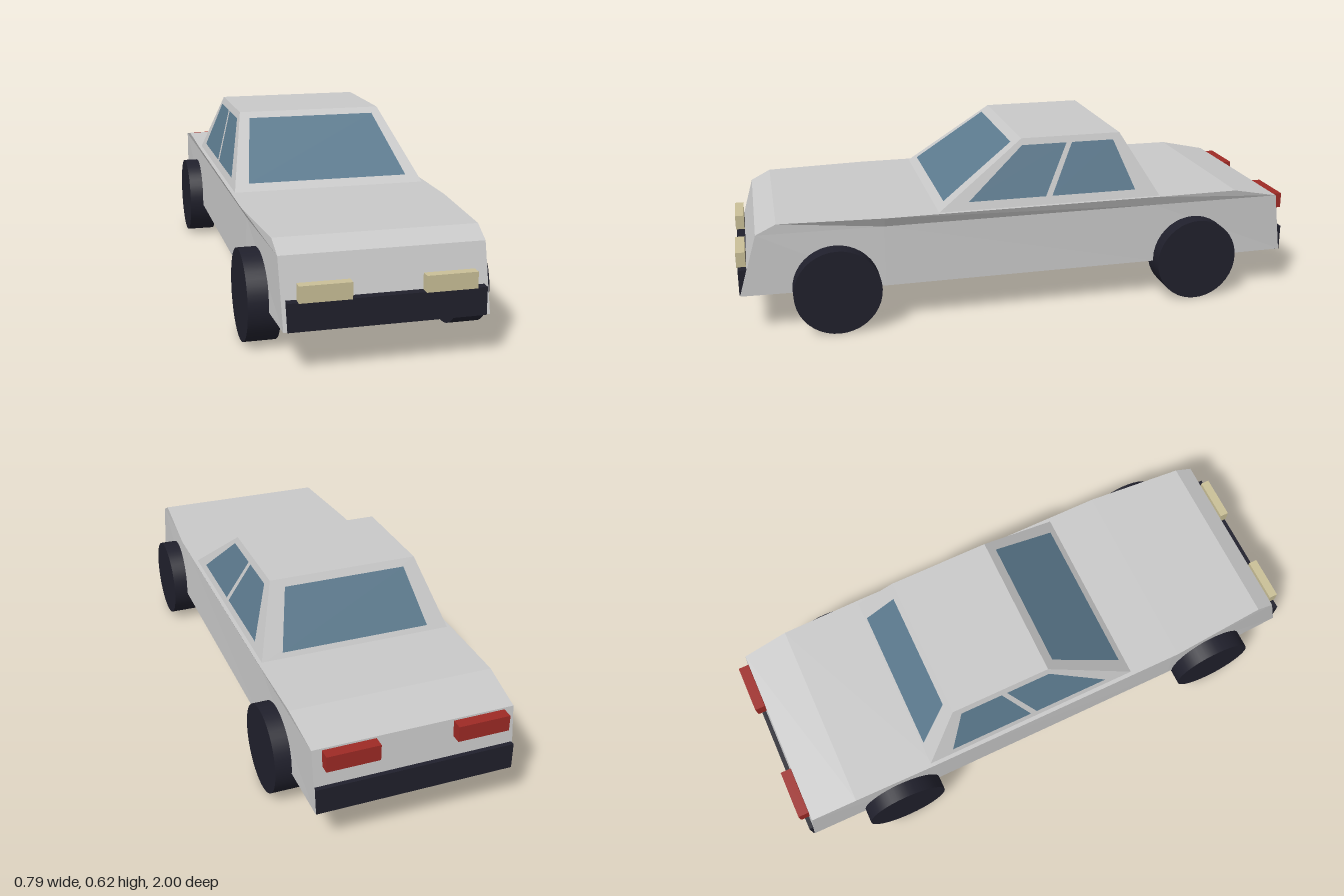
import * as THREE from 'three';

const paint = new THREE.MeshStandardMaterial({ color: 0xc8c8c8 });
const glass = new THREE.MeshStandardMaterial({ color: 0x5c7a8e });
const rubber = new THREE.MeshStandardMaterial({ color: 0x20202c });
const lampCream = new THREE.MeshStandardMaterial({ color: 0xc9bf97 });
const lampRed = new THREE.MeshStandardMaterial({ color: 0x9e2a25 });
paint.name = 'paint';
glass.name = 'glass';
rubber.name = 'rubber';
lampCream.name = 'lampCream';
lampRed.name = 'lampRed';

// Flat quads, corners counter-clockwise from outside
function quadGeometry(quads) {
  const pos = [];
  for (const [a, b, c, d] of quads) pos.push(...a, ...b, ...c, ...a, ...c, ...d);
  const g = new THREE.BufferGeometry();
  g.setAttribute('position', new THREE.Float32BufferAttribute(pos, 3));
  g.computeVertexNormals();
  return g;
}

const flip = ([x, y, z]) => [-x, y, z];

// Skin through sections given front to back; each lists its left half from bottom to top
function loft(halves) {
  const rings = halves.map((h) => [...h.map(flip), ...[...h].reverse()]);
  const n = rings[0].length;
  const quads = [];
  for (let s = 0; s < rings.length - 1; s++) {
    const f = rings[s], r = rings[s + 1];
    for (let i = 0; i < n; i++) {
      const j = (i + 1) % n;
      quads.push([f[i], f[j], r[j], r[i]]);
    }
  }
  const front = rings[0], rear = rings[rings.length - 1];
  for (let i = 0; i < n / 2 - 1; i++) {
    quads.push([front[i], front[n - 1 - i], front[n - 2 - i], front[i + 1]]);
    quads.push([rear[i + 1], rear[n - 2 - i], rear[n - 1 - i], rear[i]]);
  }
  return quadGeometry(quads);
}

export function createModel() {
  const car = new THREE.Group();
  car.name = 'car';
  const add = (name, geometry, material) => {
    const m = new THREE.Mesh(geometry, material);
    m.name = name;
    car.add(m);
    return m;
  };
  const box = (name, material, x0, x1, y0, y1, z0, z1) =>
    add(name, new THREE.BoxGeometry(x1 - x0, y1 - y0, z1 - z0), material)
      .position.set((x0 + x1) / 2, (y0 + y1) / 2, (z0 + z1) / 2);

  // Lower body: sill, shoulder and deck edge at each section
  add('body', loft([
    [[0.322, 0.14, 0.993], [0.325, 0.355, 0.93], [0.328, 0.39, 0.86]],
    [[0.342, 0.14, 0.5], [0.336, 0.355, 0.5], [0.355, 0.39, 0.5]],
    [[0.342, 0.14, -0.48], [0.338, 0.355, -0.48], [0.354, 0.39, -0.48]],
    [[0.337, 0.14, -0.99], [0.34, 0.355, -0.96], [0.35, 0.39, -0.79]],
  ]), paint);

  // Cabin
  add('cabin', loft([
    [[0.342, 0.385, 0.317], [0.264, 0.615, 0]],
    [[0.342, 0.385, -0.5], [0.264, 0.615, -0.363]],
  ]), paint);

  // Windows lie just outside the cabin's sloping faces; t runs from base to roof
  const eps = 0.003;
  const up = (t) => 0.385 + 0.23 * t;
  const screen = (name, zBase, zRoof, t0, t1, w0, w1) => {
    const s = Math.sign(zBase);
    const at = (x, t) => [s * x, up(t) + eps, zBase + (zRoof - zBase) * t + s * eps];
    add(name, quadGeometry([[at(-w0, t0), at(w0, t0), at(w1, t1), at(-w1, t1)]]), glass);
  };
  screen('windscreen', 0.317, 0, 0.11, 0.91, 0.287, 0.234);
  screen('rearWindow', -0.5, -0.363, 0.09, 0.89, 0.265, 0.217);

  const side = (t, z) => [0.342 - 0.078 * t + eps, up(t) + 0.001, z];
  const sideWindows = [
    ['frontSideWindow', 0.205, -0.073, -0.163, 0],
    ['rearSideWindow', -0.096, -0.405, -0.336, -0.183],
  ];
  for (const [name, frontLow, rearLow, rearHigh, frontHigh] of sideWindows) {
    const q = [side(0.14, frontLow), side(0.14, rearLow), side(0.9, rearHigh), side(0.9, frontHigh)];
    add(name + 'Left', quadGeometry([q]), glass);
    add(name + 'Right', quadGeometry([q.map(flip).reverse()]), glass);
  }

  // Bumpers
  box('frontBumper', rubber, -0.31, 0.31, 0.139, 0.229, 0.965, 0.996);
  box('rearBumper', rubber, -0.335, 0.335, 0.139, 0.23, -0.993, -0.965);

  // Lamps and wheels on both sides
  const wheel = new THREE.CylinderGeometry(0.15, 0.15, 0.104, 40).rotateZ(Math.PI / 2);
  for (const [s, tag] of [[1, 'Left'], [-1, 'Right']]) {
    const pair = (name, mat, a, b, ...rest) =>
      box(name + tag, mat, Math.min(s * a, s * b), Math.max(s * a, s * b), ...rest);
    pair('headlight', lampCream, 0.114, 0.277, 0.228, 0.281, 0.968, 1);
    pair('tailLight', lampRed, 0.13, 0.307, 0.295, 0.35, -1, -0.962);
    add('frontWheel' + tag, wheel, rubber).position.set(s * 0.342, 0.15, 0.67);
    add('rearWheel' + tag, wheel, rubber).position.set(s * 0.342, 0.15, -0.633);
  }
  return car;
}
